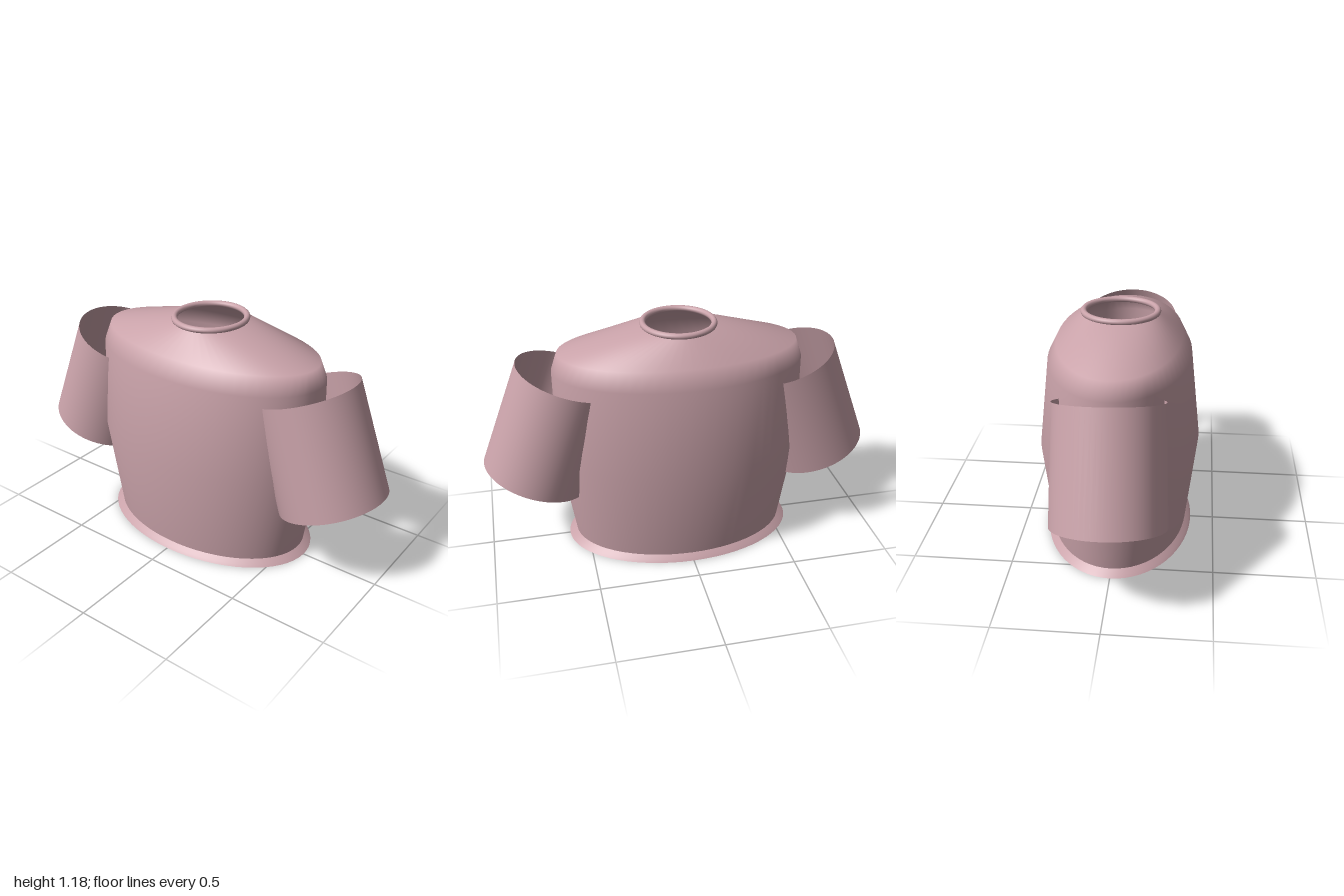
import * as THREE from 'three';

const fabric = new THREE.MeshStandardMaterial({ color: 0xc9a2a9, side: THREE.DoubleSide });
fabric.name = 'dusty pink fabric';

// Smooth open shell through elliptical rings [y, radiusX, radiusZ], from bottom to top
function loft(rings, sides) {
  const positions = [], index = [];
  for (const [y, rx, rz] of rings) {
    for (let i = 0; i < sides; i++) {
      const a = (i / sides) * Math.PI * 2;
      positions.push(rx * Math.sin(a), y, rz * Math.cos(a));
    }
  }
  for (let r = 0; r < rings.length - 1; r++) {
    for (let i = 0; i < sides; i++) {
      const a = r * sides + i, b = r * sides + (i + 1) % sides;
      index.push(a, b, b + sides, a, b + sides, a + sides);
    }
  }
  const geometry = new THREE.BufferGeometry();
  geometry.setAttribute('position', new THREE.Float32BufferAttribute(positions, 3));
  geometry.setIndex(index);
  geometry.computeVertexNormals();
  return geometry;
}

export function createModel() {
  const model = new THREE.Group();
  model.name = 'shirt';
  const add = (name, geometry) => {
    const mesh = new THREE.Mesh(geometry, fabric);
    mesh.name = name;
    model.add(mesh);
    return mesh;
  };

  // Torso, from the hem to the neck opening
  add('torso', loft([
    [0.03, 0.555, 0.35],
    [0.51, 0.63, 0.405],
    [0.96, 0.63, 0.355],
    [1.05, 0.6, 0.31],
    [1.155, 0.185, 0.19],
  ], 64));

  // Flared hem
  add('hem', loft([[0, 0.595, 0.38], [0.012, 0.58, 0.37], [0.03, 0.555, 0.35]], 64));

  // Collar ring
  const collar = add('collar', new THREE.TorusGeometry(0.175, 0.015, 12, 64).rotateX(Math.PI / 2));
  collar.position.y = 1.165;
  collar.scale.z = 1.04;

  // Sleeves: open tubes leaning outwards, passing into the torso
  for (const side of [1, -1]) {
    const top = new THREE.Vector3(side * 0.556, 0.932, 0);
    const bottom = new THREE.Vector3(side * 0.745, 0.4, 0.012);
    const axis = top.clone().sub(bottom);
    const sleeve = add(side > 0 ? 'leftSleeve' : 'rightSleeve',
      new THREE.CylinderGeometry(0.258, 0.27, axis.length(), 64, 1, true));
    sleeve.position.copy(top).add(bottom).multiplyScalar(0.5);
    sleeve.quaternion.setFromUnitVectors(new THREE.Vector3(0, 1, 0), axis.normalize());
  }

  return model;
}
